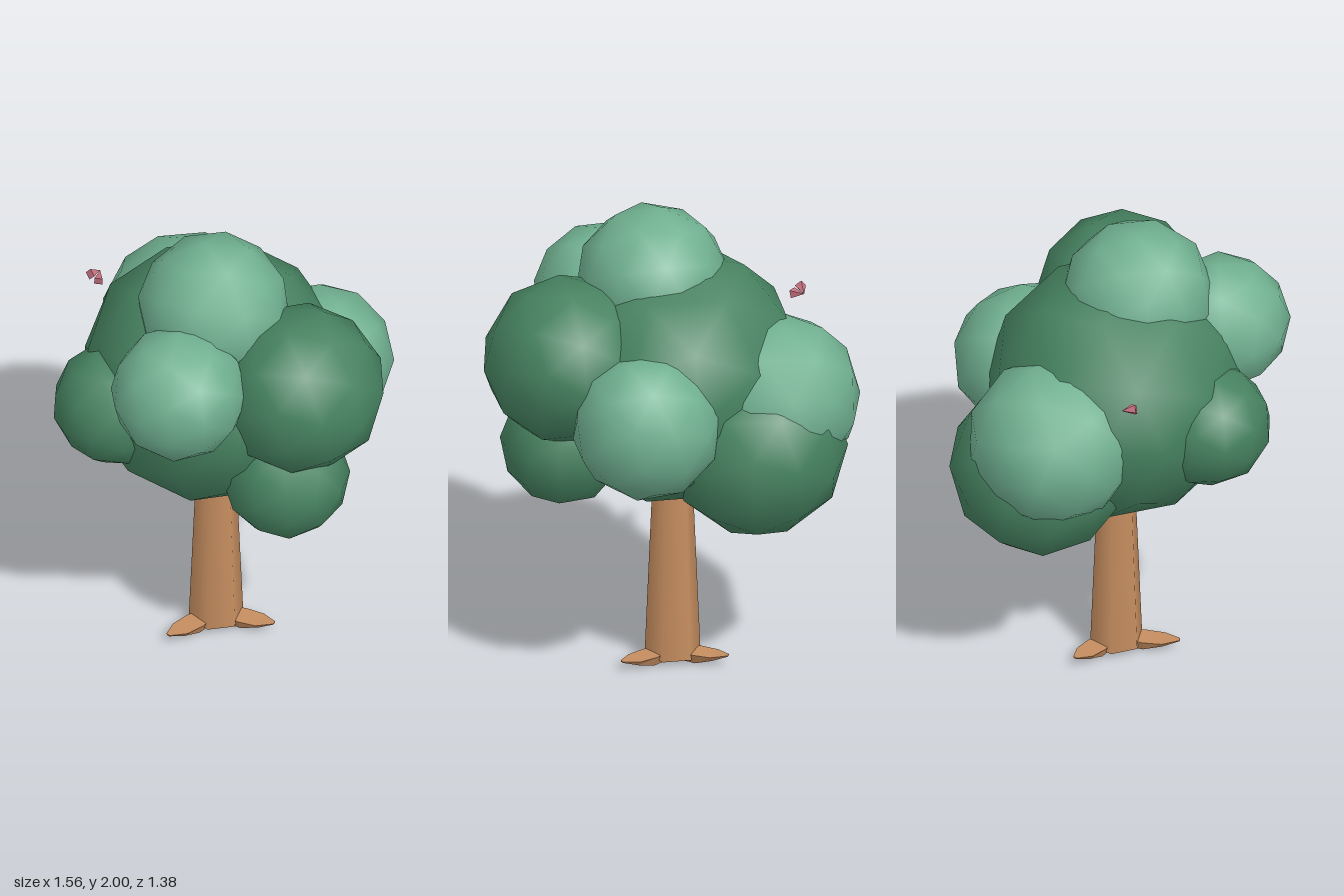
import * as THREE from 'three';

const paint = (name, color) => {
  const m = new THREE.MeshStandardMaterial({ color });
  m.name = name;
  return m;
};

// Root: a wedge lofted from cross-sections, flat on top, curling up to a thin tip
function rootGeometry(length) {
  // [distance, half width, top y, bottom y]
  const sections = [
    [0, 0.03, 0.05, 0.005],
    [0.45, 0.05, 0.045, 0],
    [0.75, 0.045, 0.044, 0.022],
    [1, 0.01, 0.048, 0.042],
  ];
  const pos = [], index = [];
  for (const [t, w, top, low] of sections) {
    const x = t * length;
    pos.push(x, top, -w, x, top, w, x, low, w * 0.6, x, low, -w * 0.6);
  }
  for (let s = 0; s < sections.length - 1; s++) {
    for (let k = 0; k < 4; k++) {
      const a = s * 4 + k, b = s * 4 + (k + 1) % 4;
      index.push(a, b, a + 4, b, b + 4, a + 4);
    }
  }
  const e = (sections.length - 1) * 4;
  index.push(0, 2, 1, 0, 3, 2, e, e + 1, e + 2, e, e + 2, e + 3);
  const g = new THREE.BufferGeometry();
  g.setAttribute('position', new THREE.Float32BufferAttribute(pos, 3));
  g.setIndex(index);
  const flat = g.toNonIndexed();
  flat.computeVertexNormals();
  return flat;
}

export function createModel() {
  const tree = new THREE.Group();
  tree.name = 'tree';
  const darkLeaf = paint('dark leaf', 0x468260);
  const lightLeaf = paint('light leaf', 0x70b090);
  const bark = paint('bark', 0xc58d5f);
  const pink = paint('blossom pink', 0xc4707f);

  const add = (name, geometry, material, x, y, z, parent = tree) => {
    const mesh = new THREE.Mesh(geometry, material);
    mesh.name = name;
    mesh.position.set(x, y, z);
    parent.add(mesh);
    return mesh;
  };

  // Trunk, tapering upward into the crown
  add('trunk', new THREE.CylinderGeometry(0.076, 0.117, 0.98, 6, 1, false, Math.PI / 6), bark, -0.032, 0.51, 0.014)
    .scale.z = 0.97;

  // Three roots reaching out from the base
  for (const [x, z] of [[0.2, -0.1], [-0.03, 0.28], [-0.24, -0.12]]) {
    const dx = x + 0.03, dz = z - 0.01;
    add('root', rootGeometry(Math.hypot(dx, dz)), bark, -0.03, 0, 0.01)
      .rotation.y = Math.atan2(-dz, dx);
  }

  // Crown: low-poly balls with smooth shading [name, material, x, y, z, radius]
  const balls = [
    ['crownCore', darkLeaf, -0.045, 1.285, 0.02, 0.55],
    ['topClump', lightLeaf, 0.04, 1.69, 0.09, 0.318],
    ['frontUpperClump', lightLeaf, 0.19, 1.5, 0.415, 0.285],
    ['frontLowerClump', darkLeaf, -0.19, 1.24, 0.43, 0.262],
    ['leftUpperClump', darkLeaf, 0.42, 1.42, -0.05, 0.355],
    ['leftLowerClump', darkLeaf, 0.42, 1.01, 0.03, 0.265],
    ['rightClump', lightLeaf, -0.43, 1.24, -0.18, 0.355],
    ['backLowerClump', darkLeaf, -0.335, 1.05, -0.25, 0.378],
    ['backClump', lightLeaf, 0.15, 1.25, -0.39, 0.313],
  ];
  balls.forEach(([name, material, x, y, z, r], i) => {
    add(name, new THREE.IcosahedronGeometry(r, 1), material, x, y, z)
      .rotation.set(i * 0.7, i * 1.3, i * 0.4);
  });

  // Tiny blossom: two flared petals opening from one point
  const blossom = new THREE.Group();
  blossom.name = 'blossom';
  blossom.position.set(-0.607, 1.54, 0.142);
  tree.add(blossom);
  const down = new THREE.Vector3(0, -1, 0);
  for (const [x, y, z] of [[0.04, -0.012, 0.045], [0.005, 0.012, 0.06]]) {
    const reach = new THREE.Vector3(x, y, z);
    const h = reach.length();
    const petal = new THREE.ConeGeometry(0.024, h, 4).translate(0, -h / 2, 0).toNonIndexed();
    petal.computeVertexNormals();
    add('petal', petal, pink, 0, 0, 0, blossom)
      .quaternion.setFromUnitVectors(down, reach.normalize());
  }
  return tree;
}
